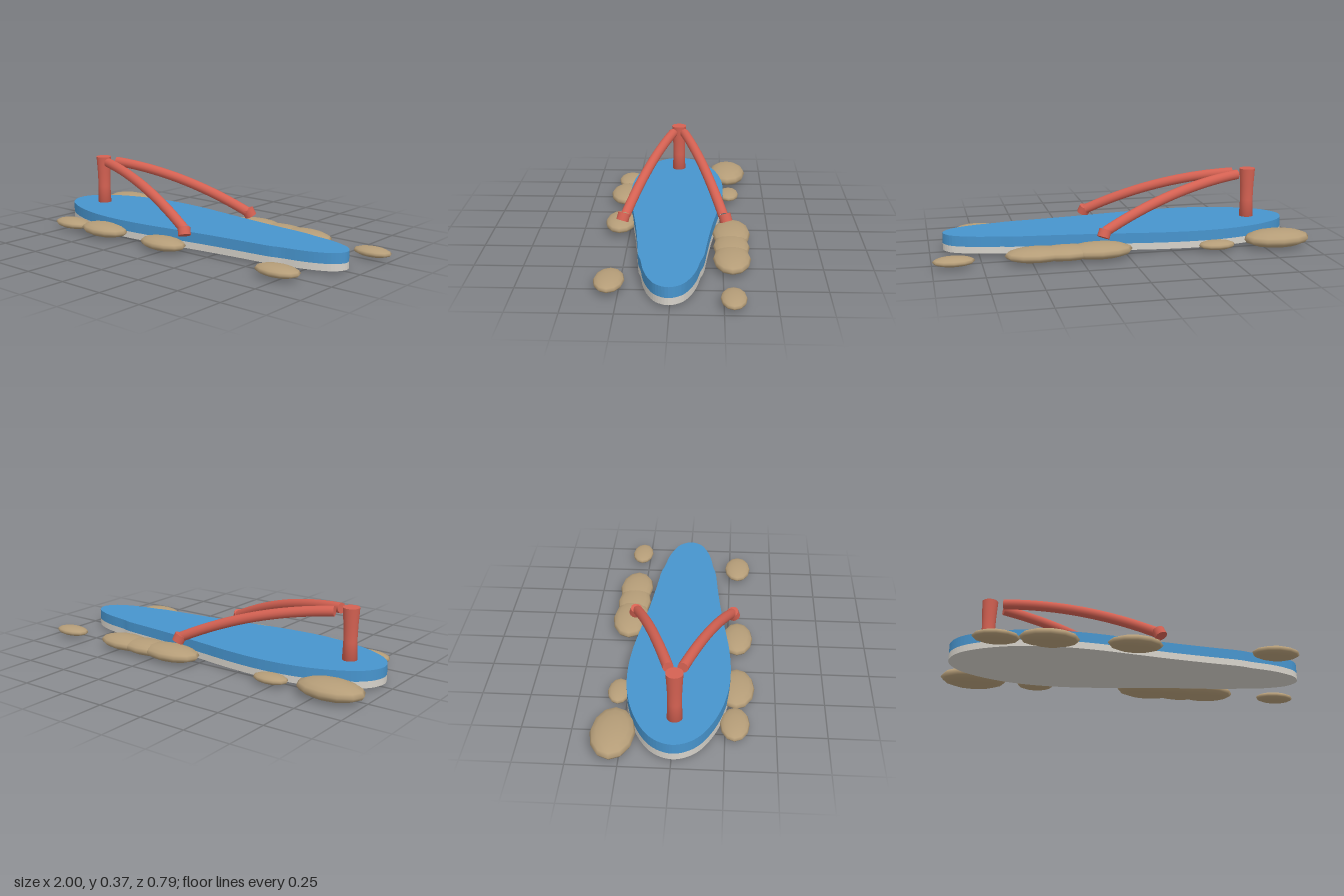
import * as THREE from 'three';

const mat = (name, color) => {
  const m = new THREE.MeshStandardMaterial({ color });
  m.name = name;
  return m;
};

export function createModel() {
  const blue = mat('blue foam', 0x4794cd);
  const grey = mat('pale rubber', 0xd6d2ca);
  const red = mat('red strap', 0xd46152);
  const tan = mat('sandy stone', 0xb59d78);
  const root = new THREE.Group();
  root.name = 'sandalOnPebbles';
  const midZ = 0.006; // centre line of the sandal

  const add = (name, geometry, material, parent = root) => {
    const mesh = new THREE.Mesh(geometry, material);
    mesh.name = name;
    parent.add(mesh);
    return mesh;
  };

  // Sole outline: toe at -x, heel at +x, one edge mirrored to the other
  const edge = [
    [-0.95, 0], [-0.935, 0.06], [-0.89, 0.12], [-0.8, 0.178], [-0.68, 0.225], [-0.54, 0.255],
    [-0.38, 0.265], [-0.2, 0.255], [0, 0.228], [0.2, 0.2], [0.4, 0.178], [0.58, 0.16],
    [0.64, 0.145], [0.74, 0.128], [0.83, 0.1], [0.9, 0.06], [0.93, 0],
  ];
  const loop = [...edge, ...edge.slice(1, -1).reverse().map(([x, z]) => [x, -z])];
  const curve = new THREE.CatmullRomCurve3(loop.map(([x, z]) => new THREE.Vector3(x, z, 0)), true);
  const outline = new THREE.Shape(curve.getPoints(128).slice(0, -1).map(p => new THREE.Vector2(p.x, p.y)));
  const slab = (name, y0, y1, material) => {
    const g = new THREE.ExtrudeGeometry(outline, { depth: y1 - y0, bevelEnabled: false });
    g.rotateX(-Math.PI / 2);
    add(name, g, material).position.set(0, y0, midZ);
  };
  slab('outsole', 0.014, 0.05, grey);
  slab('footbed', 0.05, 0.105, blue);

  // Toe post, slightly waisted
  const profile = [[0, 0.1], [0.039, 0.1], [0.035, 0.2], [0.037, 0.28], [0.043, 0.375], [0.043, 0.375], [0, 0.375]];
  const post = add('toePost', new THREE.LatheGeometry(profile.map(([r, y]) => new THREE.Vector2(r, y)), 24), red);
  post.position.set(-0.755, 0, midZ);
  const postCap = add('toePostCap', new THREE.CircleGeometry(0.043, 24).rotateX(-Math.PI / 2), red);
  postCap.position.set(-0.755, 0.376, midZ);

  // Arched straps with end discs and anchor plugs
  for (const s of [1, -1]) {
    const strap = new THREE.Group();
    strap.name = s > 0 ? 'frontStrap' : 'backStrap';
    strap.position.z = midZ;
    root.add(strap);
    const path = new THREE.QuadraticBezierCurve3(
      new THREE.Vector3(-0.68, 0.35, 0.035 * s),
      new THREE.Vector3(-0.27, 0.318, 0.152 * s),
      new THREE.Vector3(0.115, 0.128, 0.262 * s));
    add('strapTube', new THREE.TubeGeometry(path, 24, 0.027, 16), red, strap);
    const end = add('strapEnd', new THREE.CircleGeometry(0.027, 16), red, strap);
    end.position.copy(path.getPoint(0));
    end.lookAt(path.getPoint(0).sub(path.getTangent(0)).add(new THREE.Vector3(0, 0, midZ)));
    const plug = add('strapPlug', new THREE.CylinderGeometry(0.033, 0.033, 0.042, 16), red, strap);
    plug.position.set(0.12, 0.122, 0.272 * s);
    plug.quaternion.setFromUnitVectors(
      new THREE.Vector3(0, 1, 0), new THREE.Vector3(-0.35, 0.9, -0.27 * s).normalize());
  }

  // Pebbles: centre x, y, z and radii x, y, z
  const pebbles = [
    [-0.82, 0.05, -0.29, 0.182, 0.048, 0.11],
    [-0.482, 0.033, -0.295, 0.098, 0.025, 0.058],
    [0.155, 0.045, -0.297, 0.178, 0.042, 0.1],
    [0.325, 0.043, -0.295, 0.165, 0.038, 0.094],
    [0.475, 0.043, -0.295, 0.165, 0.038, 0.095],
    [0.892, 0.034, -0.295, 0.106, 0.025, 0.062],
    [-0.71, 0.036, 0.297, 0.122, 0.028, 0.073],
    [-0.445, 0.044, 0.302, 0.155, 0.037, 0.092],
    [-0.008, 0.042, 0.302, 0.143, 0.035, 0.083],
    [0.727, 0.039, 0.298, 0.126, 0.029, 0.075],
  ];
  const stone = new THREE.SphereGeometry(1, 12, 8);
  pebbles.forEach(([x, y, z, rx, ry, rz], i) => {
    const p = add(`pebble${i + 1}`, stone, tan);
    p.position.set(x, y, z);
    p.scale.set(rx, ry, rz);
  });
  return root;
}
